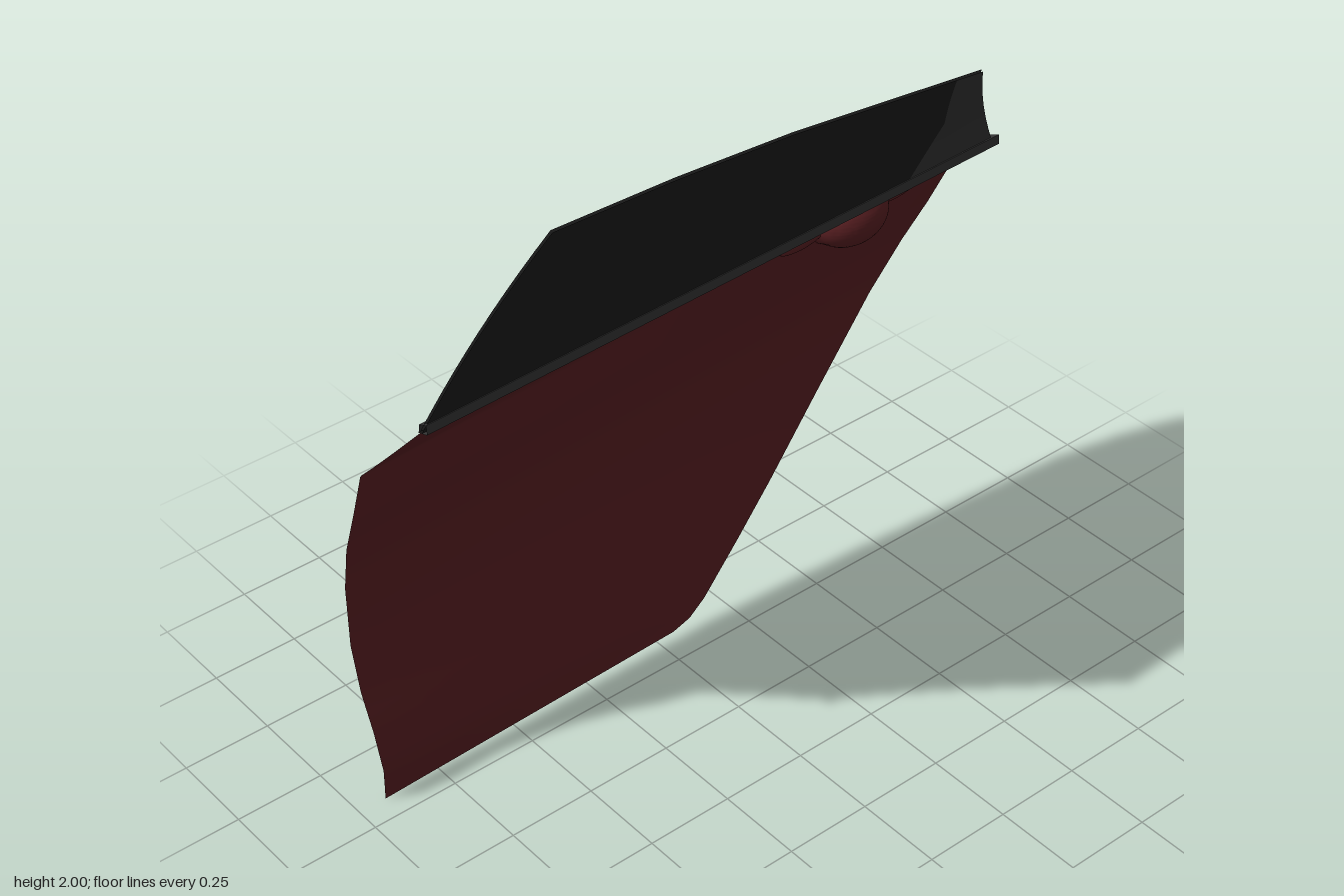
import * as THREE from 'three';
import { toCreasedNormals } from 'three/addons/utils/BufferGeometryUtils.js';

const lerp = THREE.MathUtils.lerp;
const steps = (a, b, n) => Array.from({ length: n + 1 }, (_, i) => lerp(a, b, i / n));
const material = (color) => new THREE.MeshStandardMaterial({ color, side: THREE.DoubleSide });

// Piecewise linear blend through a list of equally spaced keys (arrays of numbers)
function along(keys, t) {
  const f = Math.min(Math.max(t, 0), 1) * (keys.length - 1);
  const i = Math.min(Math.floor(f), keys.length - 2);
  return keys[i].map((k, j) => lerp(k, keys[i + 1][j], f - i));
}

// Grid surface from a rule fn(u, v) -> [x, y, z]
function surface(fn, us, vs) {
  const pos = [], index = [], w = us.length;
  for (const v of vs) for (const u of us) pos.push(...fn(u, v));
  for (let j = 0; j < vs.length - 1; j++) {
    for (let i = 0; i < w - 1; i++) {
      const a = j * w + i, b = a + 1, c = a + w, d = c + 1;
      index.push(a, c, b, b, c, d);
    }
  }
  const g = new THREE.BufferGeometry();
  g.setAttribute('position', new THREE.Float32BufferAttribute(pos, 3));
  g.setIndex(index);
  return toCreasedNormals(g, 0.6);
}

// Door skin rows, bottom to belt line: front x, y, z then rear x, y, z
const ROWS = [
  [-0.32, 0.0, 0.92, -0.322, 0.03, -0.04],
  [-0.31, 0.05, 0.925, -0.325, 0.045, -0.1],
  [-0.297, 0.12, 0.932, -0.328, 0.085, -0.155],
  [-0.305, 0.25, 0.945, -0.335, 0.22, -0.28],
  [-0.328, 0.38, 0.957, -0.34, 0.36, -0.4],
  [-0.34, 0.53, 0.966, -0.342, 0.59, -0.575],
  [-0.332, 0.72, 0.97, -0.34, 0.83, -0.755],
  [-0.313, 0.85, 0.967, -0.318, 0.97, -0.845],
  [-0.282, 0.97, 0.957, -0.29, 1.08, -0.91],
  [-0.262, 1.09, 0.94, -0.248, 1.215, -0.96],
  [-0.205, 1.15, 0.927, -0.205, 1.275, -0.968],
  [-0.15, 1.21, 0.915, -0.165, 1.32, -0.95],
  [-0.06, 1.31, 0.895, -0.005, 1.42, -0.845],
];

// Skin with the hollow behind the handle pressed inwards
function skin(u, v) {
  const r = along(ROWS, v);
  const p = [0, 1, 2].map((k) => lerp(r[k], r[k + 3], u));
  const q = 1 - ((p[1] - 1.198) / 0.088) ** 2 - ((p[2] + 0.585) / 0.118) ** 2;
  if (q > 0) p[0] = Math.max(p[0], -0.25 + 0.086 * Math.sqrt(q));
  return p;
}

// Window: belt line to roof line, slightly bowed outwards
const ROOF = [
  [0.335, 2.0, 0.79], [0.326, 1.987, 0.45], [0.308, 1.955, 0.1],
  [0.278, 1.9, -0.24], [0.225, 1.83, -0.565],
];
const BELT = [[-0.055, 1.31, 0.895], [0.0, 1.42, -0.845]];
function pane(s, t, out = 0) {
  const a = along(BELT, s), b = along(ROOF, s);
  const p = a.map((k, i) => lerp(k, b[i], t));
  p[0] -= 0.06 * t * (1 - t) + out;
  p[1] += out * 0.5;
  return p;
}
const quarterEdge = (t) => along([[0.83], [0.908], [0.922]], t)[0];

// Handle centre line
const HANDLE = new THREE.CatmullRomCurve3([
  [-0.236, 1.178, -0.35], [-0.256, 1.182, -0.44], [-0.268, 1.197, -0.6],
  [-0.26, 1.213, -0.75], [-0.237, 1.235, -0.858],
].map((p) => new THREE.Vector3(...p)));

export function createModel() {
  const door = new THREE.Group();
  door.name = 'door';
  const red = material(0x5c2023), glass = material(0x1e1e1e);
  const trim = material(0x363636), grey = material(0xcccccc);
  const add = (name, geometry, mat) => {
    const mesh = new THREE.Mesh(geometry, mat);
    mesh.name = name;
    door.add(mesh);
    return mesh;
  };

  // Painted skin, finer around the handle hollow
  const us = [...steps(0, 0.7, 10), ...steps(0.705, 0.91, 48), ...steps(0.93, 1, 3)];
  const n = ROWS.length - 1;
  const vs = [...steps(0, 7, 14), ...steps(7.25, 8, 3), ...steps(8.07, 11, 42), ...steps(11.1, 12, 9)];
  add('doorSkin', surface(skin, us, vs.map((v) => v / n)), red);

  // Glass, running behind the front pillar and the roof frame
  const side = steps(0, 1, 10);
  add('windowGlass', surface((u, t) => pane(u * quarterEdge(t), t), steps(0, 1, 24), side), glass);

  // Window frame
  add('quarterPanel', surface((u, t) => pane(lerp(quarterEdge(t), 1, u), t), steps(0, 1, 4), side), trim);
  add('frontPillar', surface((u, t) => pane(u * lerp(0.1, 0.08, t), t, 0.006), steps(0, 1, 3), side), trim);
  add('roofFrame', surface((s, t) => pane(s, lerp(0.95, 1, t), 0.006), steps(0, 1, 24), [0, 1]), trim);

  // Belt moulding, a small closed section swept along the sill
  const section = [[-0.012, -0.004], [-0.008, 0.022], [0.02, 0.034], [0.022, 0.008], [-0.012, -0.004]];
  add('beltMoulding', surface((s, v) => {
    const p = along(BELT, s), c = along(section, v);
    return [p[0] + c[0], p[1] + c[1], p[2]];
  }, steps(0, 1, 4), steps(0, 1, 4)), trim);

  // Handle bar with tapered ends
  add('handle', surface((a, t) => {
    const p = HANDLE.getPoint(t), k = Math.pow(Math.max(Math.sin(Math.PI * t), 0), 0.45);
    const ang = a * Math.PI * 2;
    return [p.x + Math.cos(ang) * 0.016 * k, p.y + Math.sin(ang) * 0.023 * k, p.z];
  }, steps(0, 1, 14), steps(0, 1, 32)), grey);

  // Shallow handle seats either side of the hollow
  for (const [y, z, tilt] of [[1.187, -0.42, 0.1], [1.213, -0.77, 0.22]]) {
    const seat = add('handleSeat', new THREE.SphereGeometry(1, 20, 12), red);
    seat.scale.set(0.016, 0.026, 0.085);
    seat.position.set(-0.242, y, z);
    seat.rotation.x = tilt;
  }
  return door;
}
